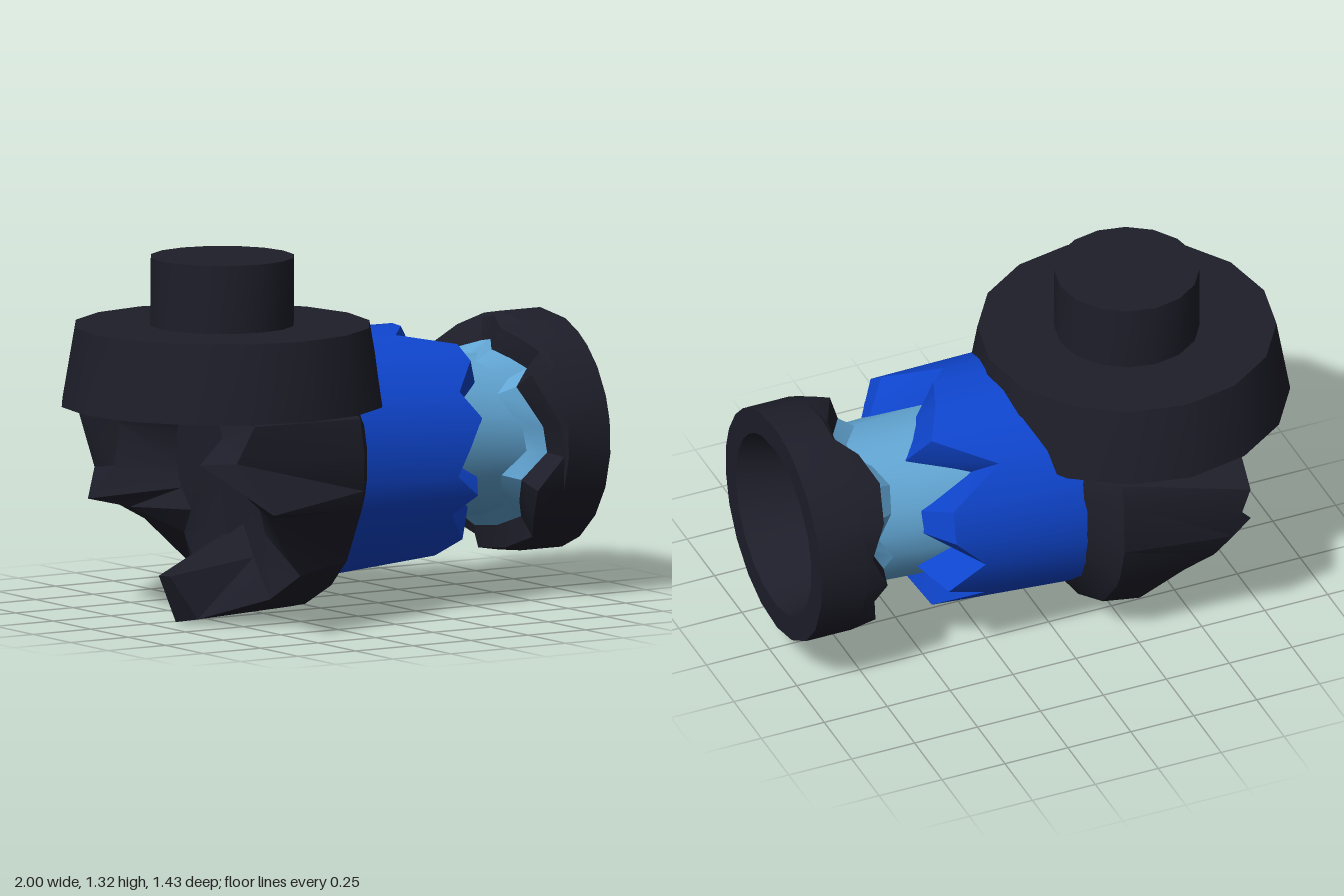
import * as THREE from 'three';
import { toCreasedNormals } from 'three/addons/utils/BufferGeometryUtils.js';

const AXIS_Y = 0.585, AXIS_Z = -0.04;
const material = (color) => new THREE.MeshStandardMaterial({ color, side: THREE.DoubleSide });

// Skins rings around the x axis, one station per table row. Each ring is a function
// of a row giving [x, radius]; angles run in degrees from the front (+z) towards the top.
function loft(table, rings) {
  const n = table.length, pos = [], index = [];
  for (const ring of rings) {
    for (const row of table) {
      const a = THREE.MathUtils.degToRad(row[0]), [x, r] = ring(row);
      pos.push(x, AXIS_Y + r * Math.sin(a), AXIS_Z + r * Math.cos(a));
    }
  }
  for (let i = 0; i < rings.length - 1; i++) {
    for (let j = 0; j < n; j++) {
      const a = i * n + j, b = i * n + (j + 1) % n;
      index.push(a, a + n, b, b, a + n, b + n);
    }
  }
  const g = new THREE.BufferGeometry();
  g.setAttribute('position', new THREE.Float32BufferAttribute(pos, 3));
  g.setIndex(index);
  return toCreasedNormals(g, 0.5);
}

export function createModel() {
  const group = new THREE.Group();
  const dark = material(0x1e1e2a), blue = material(0x0f46d0), pale = material(0x62a6d4);
  const add = (name, geometry, mat) => {
    const mesh = new THREE.Mesh(geometry, mat);
    mesh.name = name;
    group.add(mesh);
  };

  // Rocky rear body: [angle, rim radius, rim x, lip radius, lip x]; two rim spikes,
  // and a broken end where the lip stands out as teeth or sinks in as notches
  const body = [
    [-171, 0.617, -0.56, 0.42, -0.6], [-157, 0.57, -0.52, 0.46, -0.71],
    [-150, 0.566, -0.42, 0.43, -0.56], [-130, 0.585, -0.29, 0.4, -0.4],
    [-104, 0.6, -0.42, 0.42, -0.45], [-83, 0.584, -0.65, 0.41, -0.71],
    [-73, 0.586, -0.62, 0.42, -0.71], [-53, 0.6, -0.43, 0.42, -0.43],
    [-38, 0.62, -0.38, 0.4, -0.42], [-15, 0.58, -0.56, 0.4, -0.5],
    [-8, 0.763, -0.67, 0.42, -0.6], [6.5, 0.574, -0.71, 0.42, -0.77],
    [19, 0.6, -0.63, 0.4, -0.65], [40, 0.5, -0.62, 0.35, -0.6], [65, 0.46, -0.6, 0.32, -0.55],
    [90, 0.46, -0.6, 0.32, -0.55], [115, 0.46, -0.6, 0.32, -0.55], [140, 0.5, -0.6, 0.35, -0.55],
    [160, 0.585, -0.62, 0.4, -0.58], [168, 0.69, -0.6, 0.42, -0.58],
  ];
  add('rockyBody', loft(body, [
    () => [-0.42, 0],
    () => [-0.42, 0.28],
    ([, , , lipR, lipX]) => [lipX, lipR],
    ([, r, x]) => [x, r],
    ([, r]) => [-0.15, Math.min(r, 0.565)],
    () => [-0.05, 0.43],
    () => [-0.05, 0.3],
  ]), dark);

  // Collar and plug on top of the body
  const cylinder = (rTop, rBottom, y0, y1) =>
    toCreasedNormals(new THREE.CylinderGeometry(rTop, rBottom, y1 - y0, 16)
      .translate(-0.405, (y0 + y1) / 2, -0.035), 0.5);
  add('collar', cylinder(0.545, 0.595, 0.785, 1.075), dark);
  add('topPlug', cylinder(0.265, 0.265, 1.07, 1.325), dark);

  // Blue sleeve with a broken edge: [angle, edge x]
  const sleeve = [
    [-168, 0.34], [-152, 0.47], [-136, 0.3], [-118, 0.46], [-98, 0.33], [-75, 0.45],
    [-52, 0.47], [-32, 0.36], [-22, 0.45], [-11, 0.35], [3, 0.4], [17, 0.46], [31, 0.39],
    [48, 0.49], [60, 0.48], [73, 0.27], [85, 0.35], [103, 0.4], [121, 0.47],
    [140, 0.25], [158, 0.46], [175, 0.46],
  ];
  add('brokenSleeve', loft(sleeve, [
    // the hidden end dips at the bottom
    ([deg]) => [-0.12, 0.435 + 0.04 * Math.max(0, -Math.sin(THREE.MathUtils.degToRad(deg)))],
    ([, x]) => [x, 0.43],
    ([, x]) => [x + 0.075, 0.3],
  ]), blue);

  // Broken back rim shared by the core and the muzzle: [angle, rim x]
  const rim = [
    [-170, 0.71], [-150, 0.78], [-132, 0.7], [-112, 0.78], [-94, 0.71], [-75, 0.735],
    [-58, 0.78], [-40, 0.72], [-23, 0.695], [-6, 0.79], [10, 0.775], [22, 0.735], [37, 0.7],
    [50, 0.78], [60, 0.74], [72, 0.7], [94, 0.78], [107, 0.79], [118, 0.73],
    [135, 0.69], [155, 0.71], [172, 0.77],
  ];

  // Pale core bridging the gap, bevelled out to the rim
  add('core', loft(rim, [
    () => [0.25, 0.315],
    () => [0.55, 0.3],
    ([, x]) => [x - 0.06, 0.295],
    ([, x]) => [x, 0.34],
  ]), pale);

  // Flared muzzle with a deep funnel opening
  add('muzzle', loft(rim, [
    ([, x]) => [x, 0.34],
    ([, x]) => [x + 0.02, 0.425],
    () => [0.82, 0.44],
    () => [1, 0.44],
    () => [1, 0.345],
    () => [0.45, 0.16],
    () => [0.45, 0],
  ]), dark);

  return group;
}
